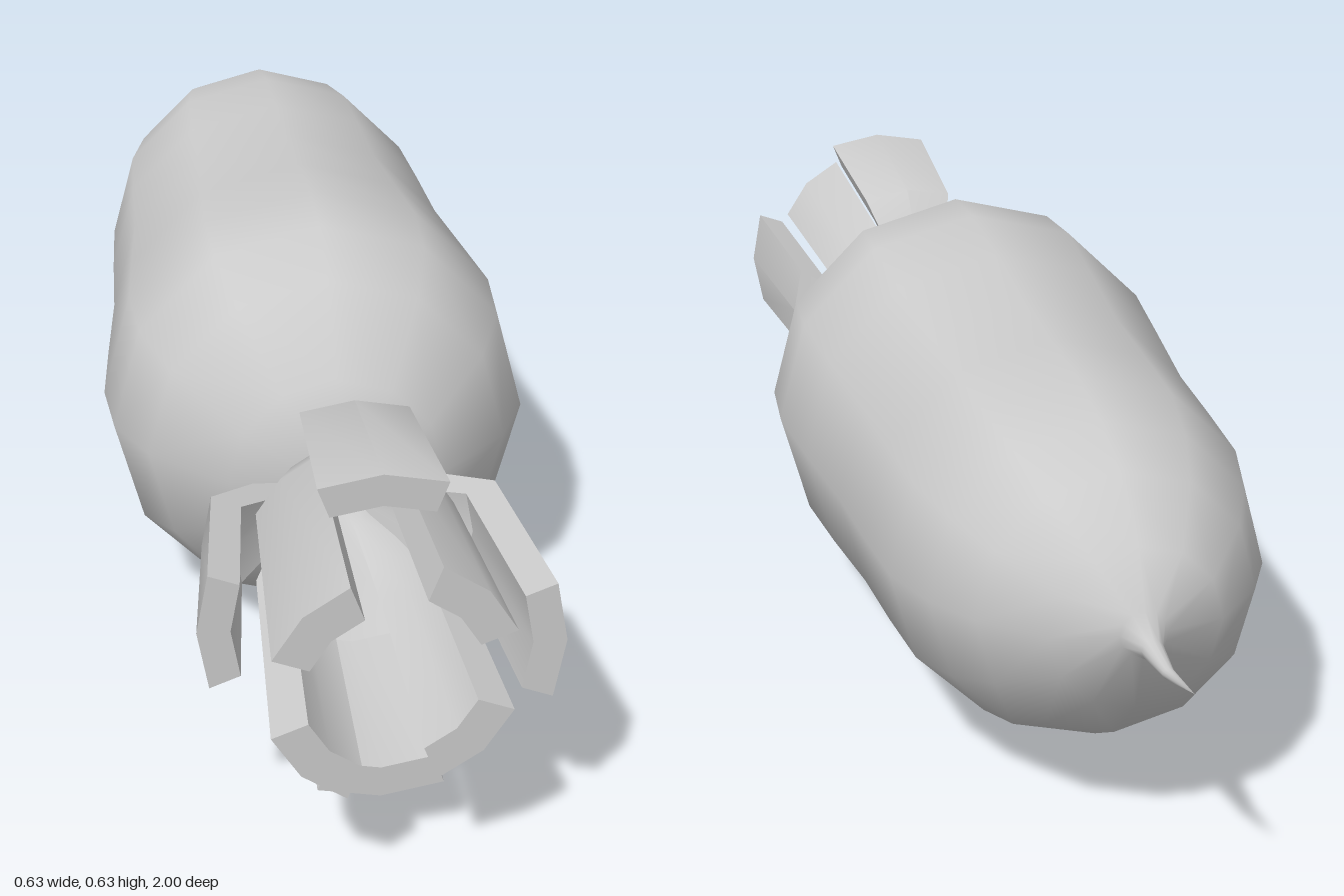
import * as THREE from 'three';
import { mergeVertices, toCreasedNormals } from 'three/addons/utils/BufferGeometryUtils.js';

const AXIS = 0.316; // height of the root's long axis

const grey = () => new THREE.MeshStandardMaterial({ color: 0xcccccc });

// Twelve-sided root lying along z, with a thin tail that bends upward
function rootGeometry() {
  // z, radius, vertical shift, sideways shift
  const rings = [
    [-1, 0, 0.063, -0.005], [-0.93, 0.008, 0.056, 0.006], [-0.86, 0.015, 0.052, 0.004],
    [-0.81, 0.033, 0.05, 0], [-0.78, 0.118, 0.042, 0], [-0.69, 0.195, 0.032, 0],
    [-0.6, 0.238, 0.022, 0], [-0.49, 0.268, 0.012, 0], [-0.35, 0.277, 0.006, 0],
    [-0.2, 0.284, 0.001, 0], [-0.03, 0.302, -0.001, 0], [0.12, 0.316, 0, 0],
    [0.235, 0.307, 0, 0], [0.33, 0.262, 0, 0], [0.435, 0.155, 0, 0],
    [0.46, 0.06, 0, 0], [0.465, 0, 0, 0],
  ];
  let g = new THREE.LatheGeometry(rings.map(([z, r]) => new THREE.Vector2(r, z)), 12);
  g.rotateX(Math.PI / 2);
  const p = g.attributes.position;
  for (let i = 0; i < p.count; i++) {
    const [, , dy, dx] = rings[i % rings.length];
    p.setXY(i, p.getX(i) + dx, p.getY(i) + dy);
  }
  g.deleteAttribute('uv');
  g.deleteAttribute('normal');
  g = mergeVertices(g, 1e-4);
  g.computeVertexNormals();
  return g;
}

// Thick curved leaf: profile rows are outer z, outer radius, inner z, inner radius
function leafGeometry(profile, half, tipZ) {
  const pos = [], idx = [];
  const last = profile.length - 1;
  const quad = (a, b, c, d) => idx.push(a, b, c, a, c, d);
  profile.forEach(([zo, ro, zi, ri], k) => {
    const add = (r, z, a) => pos.push(r * Math.sin(a), r * Math.cos(a), k === last ? tipZ : z);
    for (const s of [-1, 0, 1]) add(ro, zo, s * half);
    for (const s of [1, 0, -1]) add(ri, zi, s * half);
  });
  for (let k = 0; k < last; k++) {
    for (let j = 0; j < 6; j++) {
      const a = k * 6 + j, b = k * 6 + (j + 1) % 6;
      quad(a, a + 6, b + 6, b);
    }
  }
  // Base and tip caps
  quad(0, 1, 4, 5);
  quad(1, 2, 3, 4);
  const e = last * 6;
  quad(e + 5, e + 4, e + 1, e);
  quad(e + 4, e + 3, e + 2, e + 1);
  const g = new THREE.BufferGeometry();
  g.setAttribute('position', new THREE.Float32BufferAttribute(pos, 3));
  g.setIndex(idx);
  return toCreasedNormals(g, 0.65);
}

export function createModel() {
  const model = new THREE.Group();
  model.name = 'rootVegetable';

  const root = new THREE.Mesh(rootGeometry(), grey());
  root.name = 'root';
  root.position.y = AXIS;
  model.add(root);

  const outerProfile = [
    [0.458, 0.045, 0.475, 0.025], [0.49, 0.075, 0.505, 0.045], [0.53, 0.14, 0.55, 0.105],
    [0.605, 0.208, 0.61, 0.165], [0.865, 0.234, 0.865, 0.19],
  ];
  const innerProfile = [
    [0.46, 0.04, 0.48, 0.022], [0.49, 0.06, 0.52, 0.035], [0.54, 0.11, 0.57, 0.07],
    [0.62, 0.145, 0.63, 0.1], [0.99, 0.167, 0.99, 0.117],
  ];
  // Tip positions clockwise from the top: four wide outer and four long inner leaves
  const outerTips = [0.865, 0.9, 0.88, 0.83];
  const innerTips = [0.965, 0.96, 0.99, 1];

  const leaves = new THREE.Group();
  leaves.name = 'leaves';
  leaves.position.y = AXIS;
  const addLeaf = (name, profile, half, tip, angle) => {
    const leaf = new THREE.Mesh(leafGeometry(profile, half, tip), grey());
    leaf.name = name;
    leaf.rotation.z = -angle;
    leaves.add(leaf);
  };
  for (let i = 0; i < 4; i++) {
    const angle = i * Math.PI / 2;
    addLeaf('outerLeaf', outerProfile, 0.365, outerTips[i], angle);
    addLeaf('innerLeaf', innerProfile, 0.42, innerTips[i], angle + Math.PI / 4);
  }
  model.add(leaves);
  return model;
}
